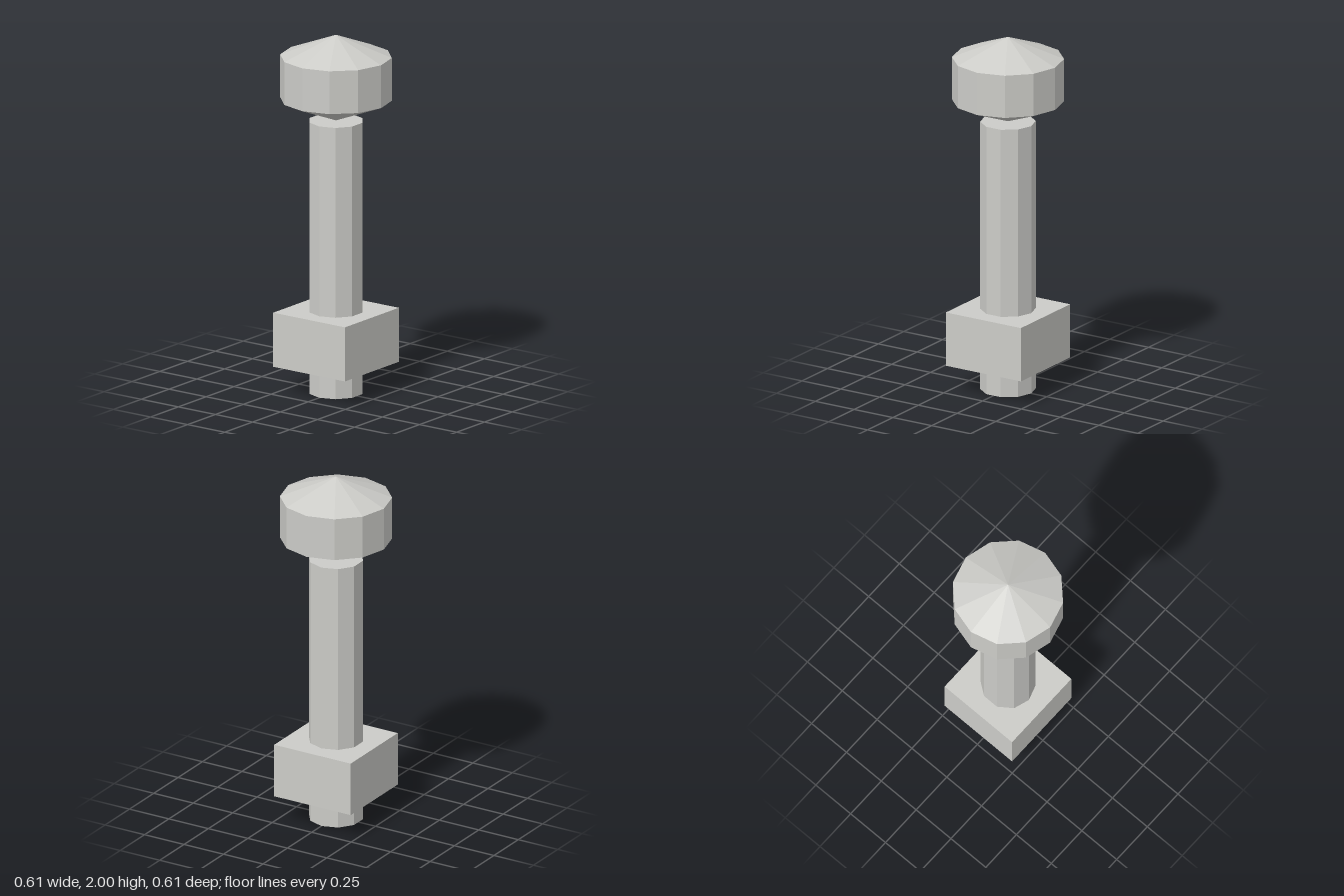
import * as THREE from 'three';

export function createModel() {
  const model = new THREE.Group();
  model.name = 'bolt';

  const steel = new THREE.MeshStandardMaterial({ color: 0xccccc8, flatShading: true });
  steel.name = 'pale steel';

  const add = (name, geometry, y = 0) => {
    const mesh = new THREE.Mesh(geometry, steel);
    mesh.name = name;
    mesh.position.y = y;
    model.add(mesh);
  };

  // Ten-sided shaft
  const shaftHeight = 1.52;
  add('shaft', new THREE.CylinderGeometry(0.15, 0.15, shaftHeight, 10), shaftHeight / 2);

  // Square nut around the lower shaft
  add('nut', new THREE.BoxGeometry(0.484, 0.303, 0.484), 0.305);

  // Twelve-sided head: a drum with a shallow cone above and below
  const radius = 0.303;
  const profile = [[0, 1.52], [radius, 1.64], [radius, 1.88], [0, 2]]
    .map(([r, y]) => new THREE.Vector2(r, y));
  add('head', new THREE.LatheGeometry(profile, 12));

  return model;
}
